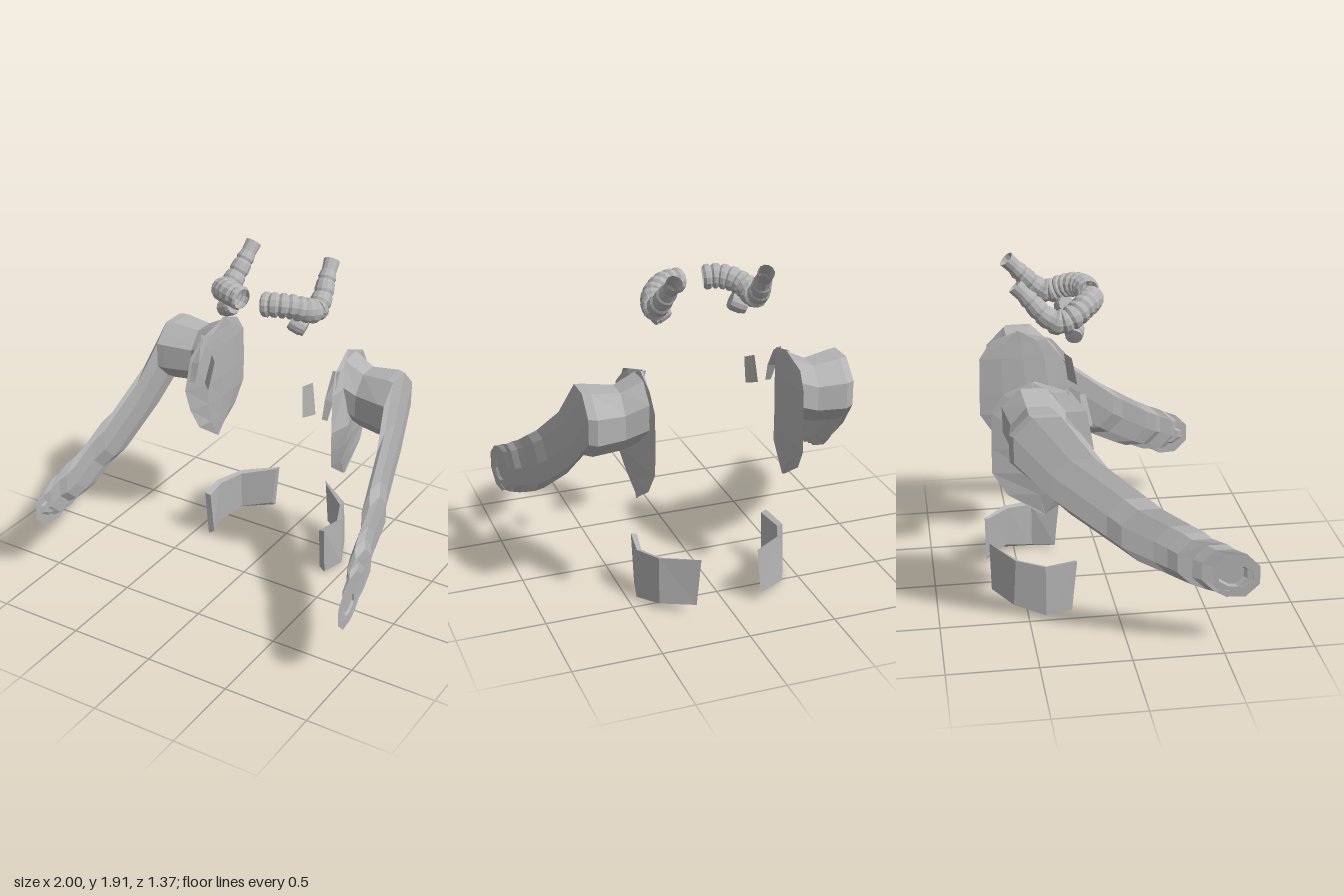
import * as THREE from 'three';

const V = (x, y, z) => new THREE.Vector3(x, y, z);
const grey = new THREE.MeshStandardMaterial({ color: 0xb4b4b4, side: THREE.DoubleSide, flatShading: true });
grey.name = 'plain grey';

// Skin a list of equal-length cross-sections; closed wraps each section round
function loft(rings, closed = true) {
  const n = rings[0].length, pos = [], index = [];
  rings.forEach(r => r.forEach(p => pos.push(p.x, p.y, p.z)));
  for (let i = 0; i < rings.length - 1; i++) {
    for (let j = 0; j < (closed ? n : n - 1); j++) {
      const a = i * n + j, b = i * n + (j + 1) % n;
      index.push(a, a + n, b, b, a + n, b + n);
    }
  }
  const g = new THREE.BufferGeometry();
  g.setAttribute('position', new THREE.Float32BufferAttribute(pos, 3));
  g.setIndex(index);
  const flat = g.toNonIndexed();
  flat.computeVertexNormals();
  return flat;
}

// Collapsed section used to cap a loft
function capOf(ring) {
  const c = ring.reduce((s, p) => s.add(p), V(0, 0, 0)).divideScalar(ring.length);
  return ring.map(() => c);
}

function part(name, geometry) {
  const m = new THREE.Mesh(geometry, grey);
  m.name = name;
  return m;
}

// Octagon in the y-z plane, optionally leaning so that x grows with z
function octagon([x, y, z, ry, rz = ry, lean = 0]) {
  const k = 1 / Math.cos(Math.PI / 8);
  return Array.from({ length: 8 }, (_, i) => {
    const a = (i + 0.5) * Math.PI / 4, dz = Math.cos(a) * rz * k;
    return V(x + lean * dz, y + Math.sin(a) * ry * k, z + dz);
  });
}

// Shoulder, upper arm, creased cuff and recessed wrist opening
function sleeve() {
  const rings = [
    [0.43, 1.20, -0.45, 0.17], [0.55, 1.145, -0.44, 0.165, 0.145], [0.71, 1.15, -0.43, 0.18],
    [0.755, 1.155, -0.415, 0.175, 0.175], [0.80, 0.95, -0.24, 0.155], [0.858, 0.74, 0.03, 0.15],
    [0.893, 0.69, 0.10, 0.148], [0.912, 0.60, 0.26, 0.14], [0.93, 0.565, 0.33, 0.138],
    [0.957, 0.545, 0.37, 0.13], [0.962, 0.51, 0.45, 0.13, 0.13, 0.04],
    [0.98, 0.495, 0.49, 0.122, 0.122, 0.07], [0.985, 0.462, 0.555, 0.125, 0.125, 0.1],
    [0.985, 0.455, 0.555, 0.058, 0.092, 0.1], [0.972, 0.46, 0.545, 0.05, 0.08, 0.1],
  ].map(octagon);
  rings.push(capOf(rings[rings.length - 1]));
  return part('sleeve', loft(rings));
}

// Hollow-backed leaf guard inside the shoulder:
// [y, front z, back z, front x, inner middle x, outer bulge x]
function shoulderGuard() {
  const rows = [
    [1.40, -0.44, -0.46, 0.41, 0.41, 0.415], [1.34, -0.25, -0.61, 0.44, 0.41, 0.445],
    [1.24, -0.17, -0.675, 0.47, 0.405, 0.48], [1.03, -0.135, -0.68, 0.49, 0.405, 0.525],
    [0.89, -0.165, -0.68, 0.475, 0.41, 0.50], [0.76, -0.22, -0.60, 0.45, 0.42, 0.465],
    [0.63, -0.395, -0.405, 0.43, 0.43, 0.432],
  ].map(([y, zf, zb, xf, xm, xo]) => {
    const z = t => THREE.MathUtils.lerp(zf, zb, t);
    return [
      V(xf, y, z(0)), V(xo, y, z(0.25)), V((xo + xm) / 2 + 0.01, y, z(0.55)), V(xm + 0.015, y, z(1)),
      V(xm, y, z(0.75)), V(xm, y, z(0.5)), V(xm + (xf - xm) * 0.25, y, z(0.25)),
    ];
  });
  return part('shoulderGuard', loft(rows));
}

// Bent ankle plate with a bevelled inner face
function anklePlate() {
  const columns = [
    // top corner, bottom corner, inward offset in x and z
    [[0.165, 0.34, -0.69], [0.19, 0.06, -0.685], 0.012, 0.02],
    [[0.365, 0.32, -0.56], [0.37, 0.045, -0.575], -0.015, 0.025],
    [[0.44, 0.305, -0.40], [0.445, 0.005, -0.40], -0.03, 0.01],
    [[0.415, 0.315, -0.22], [0.41, 0.01, -0.25], -0.035, -0.005],
  ].map(([t, b, dx, dz]) => [
    V(...t), V(...b), V(b[0] + dx, b[1] + 0.02, b[2] + dz), V(t[0] + dx, t[1] - 0.01, t[2] + dz),
  ]);
  return part('anklePlate', loft([capOf(columns[0]), ...columns, capOf(columns[3])]));
}

// Tube along a curve whose radius follows a list of [t, radius]
function hose(name, points, profile, sides = 12) {
  const curve = new THREE.CatmullRomCurve3(points.map(p => V(...p)));
  const up = V(0, 1, 0.25);
  const rings = profile.map(([t, r]) => {
    const c = curve.getPointAt(t), d = curve.getTangentAt(t);
    const a = V(0, 0, 0).crossVectors(d, up).normalize();
    const b = V(0, 0, 0).crossVectors(a, d).normalize();
    return Array.from({ length: sides }, (_, i) => {
      const w = i / sides * Math.PI * 2;
      return c.clone().addScaledVector(a, Math.cos(w) * r).addScaledVector(b, Math.sin(w) * r);
    });
  });
  return part(name, loft(rings));
}

// Ridged lower run, then smoother stepped segments up to the flared open end
function ridgedHose() {
  const profile = [];
  for (let i = 0; i < 8; i++) {
    const t = i * 0.072;
    profile.push([t, 0.058], [t + 0.02, 0.07], [t + 0.052, 0.07]);
  }
  profile.push(
    [0.58, 0.055], [0.61, 0.062], [0.67, 0.058], [0.69, 0.05], [0.72, 0.057],
    [0.79, 0.053], [0.81, 0.046], [0.835, 0.052], [0.9, 0.042], [1, 0.046],
  );
  return hose('ridgedHose', [
    [0.065, 1.74, -0.085], [0.14, 1.745, -0.105], [0.21, 1.735, -0.15], [0.265, 1.705, -0.21],
    [0.285, 1.68, -0.29], [0.283, 1.725, -0.37], [0.27, 1.79, -0.43], [0.255, 1.885, -0.52],
  ], profile);
}

function side() {
  const g = new THREE.Group();
  g.add(sleeve(), shoulderGuard(), anklePlate(), ridgedHose());

  // Short capped connector under the hose
  g.add(hose('hoseConnector', [[0.185, 1.63, -0.19], [0.225, 1.61, -0.2], [0.272, 1.59, -0.21]],
    [[0, 0.001], [0.01, 0.045], [0.2, 0.052], [0.75, 0.052], [0.8, 0.046], [0.99, 0.046], [1, 0.001]]));

  // Thin chest tab
  g.add(part('chestTab', loft([
    [V(0.29, 1.265, -0.15), V(0.335, 1.285, -0.19)],
    [V(0.315, 1.09, -0.115), V(0.37, 1.105, -0.165)],
  ], false)));

  // Slanted strap at the front of the shoulder
  g.add(part('shoulderStrap', loft([
    [V(0.41, 1.34, -0.28), V(0.46, 1.35, -0.27)],
    [V(0.42, 1.21, -0.18), V(0.47, 1.2, -0.18)],
    [V(0.425, 1.1, -0.14), V(0.46, 1.1, -0.14)],
  ], false)));
  return g;
}

export function createModel() {
  const model = new THREE.Group();
  const left = side();
  left.name = 'leftSide';
  const right = side();
  right.name = 'rightSide';
  right.scale.x = -1;
  model.add(left, right);
  return model;
}
